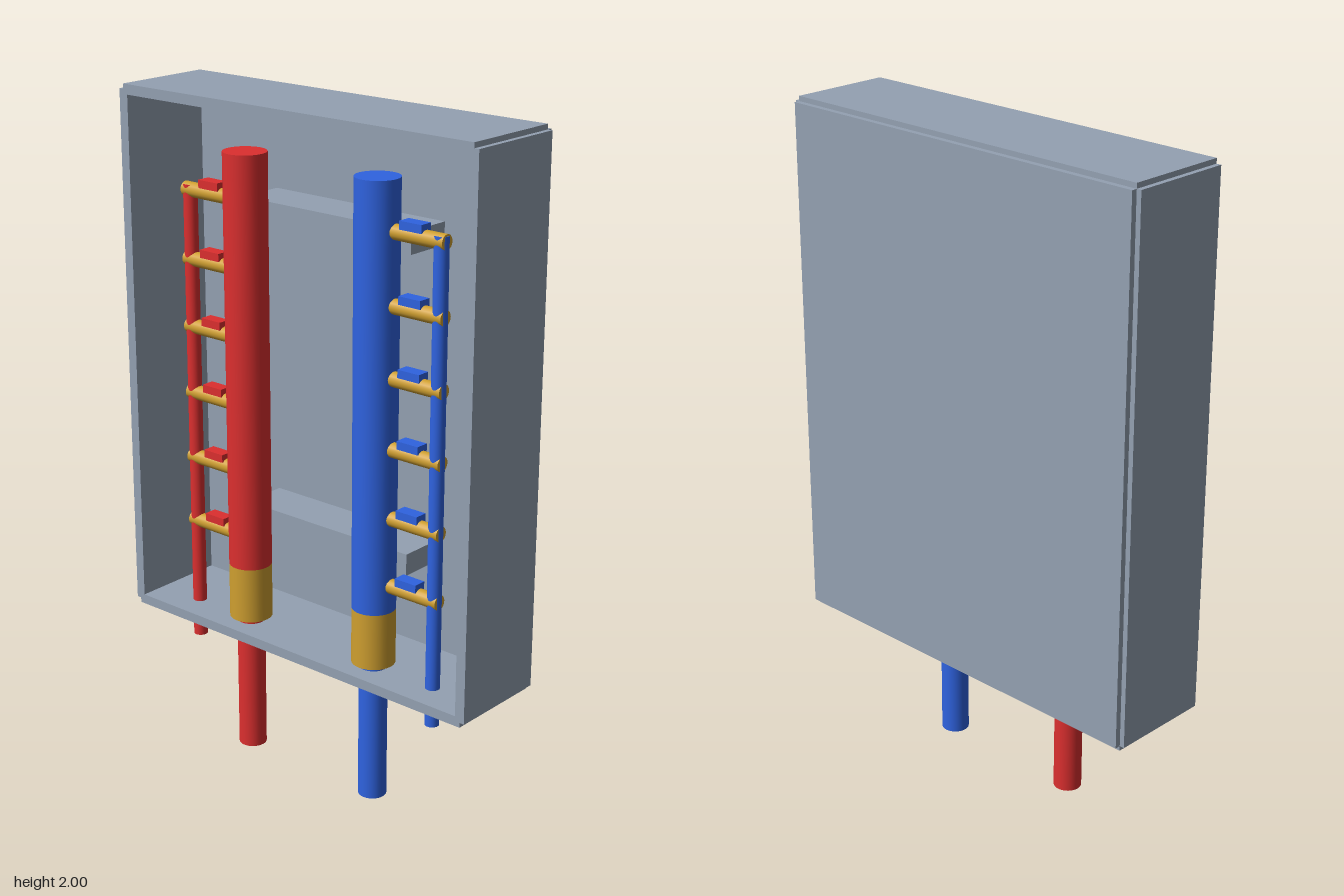
import * as THREE from 'three';

const mat = (name, color) => {
  const m = new THREE.MeshStandardMaterial({ color });
  m.name = name;
  return m;
};

export function createModel() {
  const root = new THREE.Group();
  root.name = 'manifoldCabinet';
  const steel = mat('steelGrey', 0x94a1b2);
  const red = mat('supplyRed', 0xdc2f2f);
  const blue = mat('returnBlue', 0x2f63e0);
  const brass = mat('brass', 0xcf9f30);

  // Box given by its min and max corners
  function box(parent, name, material, x0, x1, y0, y1, z0, z1) {
    const m = new THREE.Mesh(new THREE.BoxGeometry(x1 - x0, y1 - y0, z1 - z0), material);
    m.position.set((x0 + x1) / 2, (y0 + y1) / 2, (z0 + z1) / 2);
    m.name = name;
    parent.add(m);
  }

  // Upright pipe between two heights
  const pipeZ = 0.07;
  function pipe(parent, name, material, x, r, y0, y1) {
    const m = new THREE.Mesh(new THREE.CylinderGeometry(r, r, y1 - y0, 32), material);
    m.position.set(x, (y0 + y1) / 2, pipeZ);
    m.name = name;
    parent.add(m);
  }

  // Open-fronted cabinet of thin sheets
  const cabinet = new THREE.Group();
  cabinet.name = 'cabinet';
  root.add(cabinet);
  box(cabinet, 'backPanel', steel, -0.624, 0.624, 0.4, 1.985, -0.165, -0.135);
  box(cabinet, 'topPanel', steel, -0.624, 0.624, 1.97, 2.0, -0.148, 0.163);
  box(cabinet, 'bottomPanel', steel, -0.624, 0.624, 0.385, 0.415, -0.148, 0.163);
  box(cabinet, 'leftPanel', steel, 0.608, 0.639, 0.4, 1.985, -0.148, 0.163);
  box(cabinet, 'rightPanel', steel, -0.639, -0.608, 0.4, 1.985, -0.148, 0.163);

  // Mounting rails behind the manifolds
  box(cabinet, 'upperRail', steel, -0.308, 0.308, 1.63, 1.695, -0.136, 0.01);
  box(cabinet, 'lowerRail', steel, -0.308, 0.308, 0.695, 0.76, -0.136, 0.01);

  // One manifold per side: red on the right, blue on the left
  for (const [side, colour, label] of [[-1, red, 'supply'], [1, blue, 'return']]) {
    const g = new THREE.Group();
    g.name = label + 'Manifold';
    root.add(g);
    const x = side * 0.24;
    pipe(g, 'mainPipe', colour, x, 0.064, 0.6, 1.845);
    pipe(g, 'brassCollar', brass, x, 0.064, 0.43, 0.6);
    pipe(g, 'feedPipe', colour, x, 0.042, 0, 0.435);
    pipe(g, 'loopPipe', colour, side * 0.457, 0.021, 0.3, 1.72);

    // Outlets with valve handles
    for (let i = 0; i < 6; i++) {
      const y = 0.682 + i * 0.2045;
      const outlet = new THREE.Mesh(new THREE.CylinderGeometry(0.022, 0.022, 0.2, 20), brass);
      outlet.rotation.z = Math.PI / 2;
      outlet.position.set(side * 0.375, y, pipeZ);
      outlet.name = 'outlet';
      g.add(outlet);
      const hx = side * 0.368;
      box(g, 'valveHandle', colour, hx - 0.037, hx + 0.037, y + 0.014, y + 0.038, pipeZ - 0.02, pipeZ + 0.02);
    }
  }
  return root;
}
